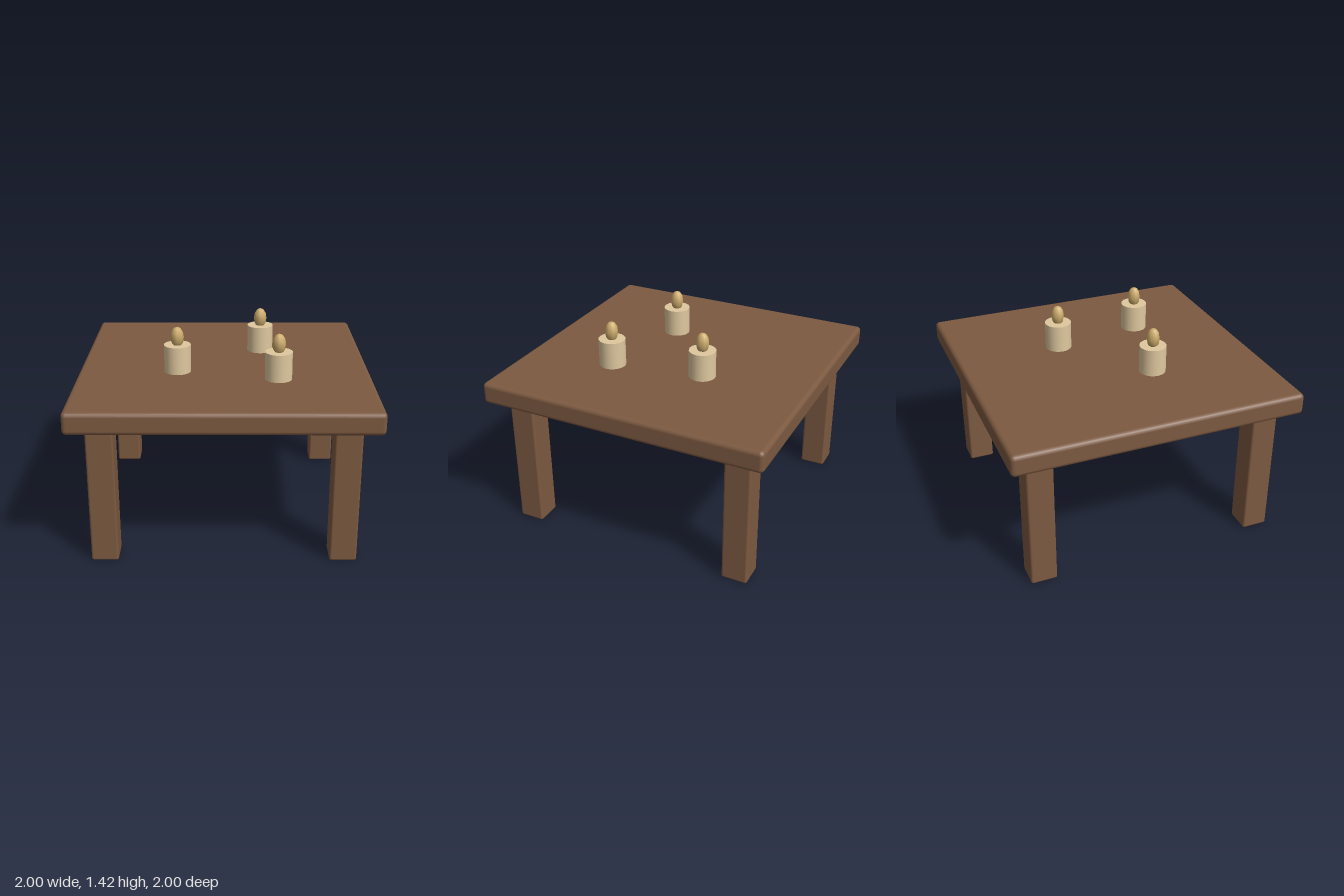
import * as THREE from 'three';
import { RoundedBoxGeometry } from 'three/addons/geometries/RoundedBoxGeometry.js';

export function createModel() {
  const model = new THREE.Group();
  model.name = 'candleTable';

  const material = (name, color) => {
    const m = new THREE.MeshStandardMaterial({ color });
    m.name = name;
    return m;
  };
  const wood = material('brown wood', 0x7d5a41);
  const wax = material('cream wax', 0xdfc89f);
  const flameGold = material('flame gold', 0xcdac6c);

  const add = (parent, name, geometry, mat, x, y, z) => {
    const mesh = new THREE.Mesh(geometry, mat);
    mesh.name = name;
    mesh.position.set(x, y, z);
    parent.add(mesh);
    return mesh;
  };

  // Thick slab with softened edges
  add(model, 'tableTop', new RoundedBoxGeometry(2, 0.15, 2, 2, 0.03), wood, 0, 1.03, 0);

  // Four square legs
  const legGeometry = new RoundedBoxGeometry(0.18, 0.95, 0.18, 2, 0.015);
  for (const [side, x] of [['Left', 0.79], ['Right', -0.79]]) {
    for (const [end, z] of [['front', 0.79], ['back', -0.79]]) {
      add(model, `${end}${side}Leg`, legGeometry, wood, x, 0.477, z);
    }
  }

  // Three candles, each a wax cylinder with a faceted teardrop flame
  const waxGeometry = new THREE.CylinderGeometry(0.092, 0.092, 0.195, 24);
  const flameGeometry = new THREE.SphereGeometry(0.046, 8, 6);
  flameGeometry.scale(1, 1.58, 1);
  [[-0.32, 0.21], [0.26, -0.265], [0.365, 0.365]].forEach(([x, z], i) => {
    const candle = new THREE.Group();
    candle.name = `candle${i + 1}`;
    candle.position.set(x, 1.1, z);
    add(candle, 'waxBody', waxGeometry, wax, 0, 0.0975, 0);
    add(candle, 'flame', flameGeometry, flameGold, 0, 0.247, 0);
    model.add(candle);
  });

  return model;
}
